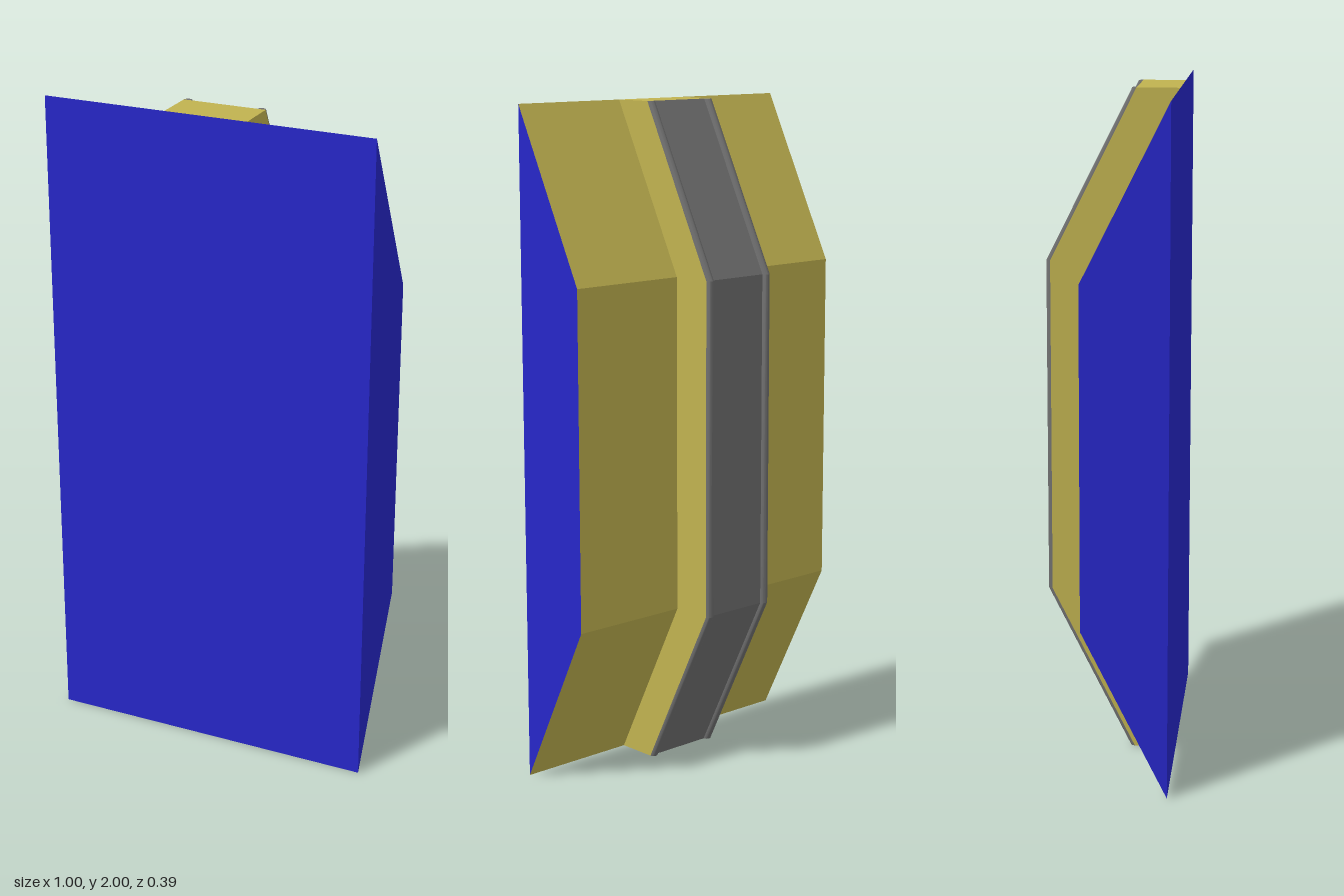
import * as THREE from 'three';
import { toCreasedNormals } from 'three/addons/utils/BufferGeometryUtils.js';

const FRONT_Z = 0.194, HEIGHT = 2, HALF_W = 0.5;
const RIB_HALF = 0.125, RIB_DEPTH = 0.125, BEAD_R = 0.0125;

// Spines as [y, z] stations: the bent back and the flat front
const BACK = [[0, FRONT_Z], [0.5, FRONT_Z - 0.25], [1.5, FRONT_Z - 0.25], [HEIGHT, FRONT_Z]];
const FLAT = [[0, FRONT_Z], [HEIGHT, FRONT_Z]];

const paint = (color) => new THREE.MeshStandardMaterial({ color, side: THREE.DoubleSide });

// Sweep a section of [x, depth behind the spine] points up a spine
function sweep(section, spine) {
  const pos = [], index = [], n = section.length;
  for (const [y, z] of spine) for (const [x, d] of section) pos.push(x, y, z - d);
  for (let j = 0; j < spine.length - 1; j++) {
    for (let i = 0; i < n - 1; i++) {
      const a = j * n + i;
      index.push(a, a + n, a + 1, a + 1, a + n, a + n + 1);
    }
  }
  const g = new THREE.BufferGeometry();
  g.setAttribute('position', new THREE.Float32BufferAttribute(pos, 3));
  g.setIndex(index);
  return toCreasedNormals(g, 0.42);
}

export function createModel() {
  const group = new THREE.Group();
  const blue = paint(0x2626c8), yellow = paint(0xc0b250), grey = paint(0x707070);
  const add = (name, geometry, material, x = 0, y = 0, z = 0) => {
    const mesh = new THREE.Mesh(geometry, material);
    mesh.name = name;
    mesh.position.set(x, y, z);
    group.add(mesh);
  };

  // Main body: flat front, bent back, trapezoid sides
  add('frontPanel', sweep([[HALF_W, 0], [-HALF_W, 0]], FLAT), blue);
  const sideShape = new THREE.Shape(BACK.map(([y, z]) => new THREE.Vector2(-z, y)));
  for (const s of [-1, 1]) {
    add(s > 0 ? 'leftSide' : 'rightSide',
      new THREE.ShapeGeometry(sideShape).rotateY(Math.PI / 2), blue, s * HALF_W);
    const span = [[s * HALF_W, 0], [s * RIB_HALF, 0]];
    add('backPanel', sweep(s < 0 ? span : span.reverse(), BACK), yellow);
  }

  // Raised central rib with flat ends
  add('ribRightSide', sweep([[-RIB_HALF, 0], [-RIB_HALF, RIB_DEPTH]], BACK), yellow);
  add('ribLeftSide', sweep([[RIB_HALF, RIB_DEPTH], [RIB_HALF, 0]], BACK), yellow);
  for (const y of [0, HEIGHT]) {
    const end = new THREE.PlaneGeometry(2 * RIB_HALF, RIB_DEPTH).rotateX(y ? -Math.PI / 2 : Math.PI / 2);
    add('ribEnd', end, yellow, 0, y, FRONT_Z - RIB_DEPTH / 2);
  }

  // Grey strip along the rib, edged by half-round beads
  const inner = RIB_HALF - 2 * BEAD_R;
  add('strip', sweep([[-inner, RIB_DEPTH], [inner, RIB_DEPTH]], BACK), grey);
  const arc = Array.from({ length: 13 }, (_, i) => {
    const t = Math.PI * (1 - i / 12);
    return [BEAD_R * Math.cos(t), BEAD_R * Math.sin(t)];
  });
  const capShape = new THREE.Shape(arc.map(([x, d]) => new THREE.Vector2(x, d)));
  for (const s of [-1, 1]) {
    const cx = s * (RIB_HALF - BEAD_R);
    add('edgeBead', sweep(arc.map(([x, d]) => [x + cx, d + RIB_DEPTH]), BACK), grey);
    for (const y of [0, HEIGHT]) {
      add('beadEnd', new THREE.ShapeGeometry(capShape).rotateX(-Math.PI / 2), grey,
        cx, y, FRONT_Z - RIB_DEPTH);
    }
  }
  return group;
}
